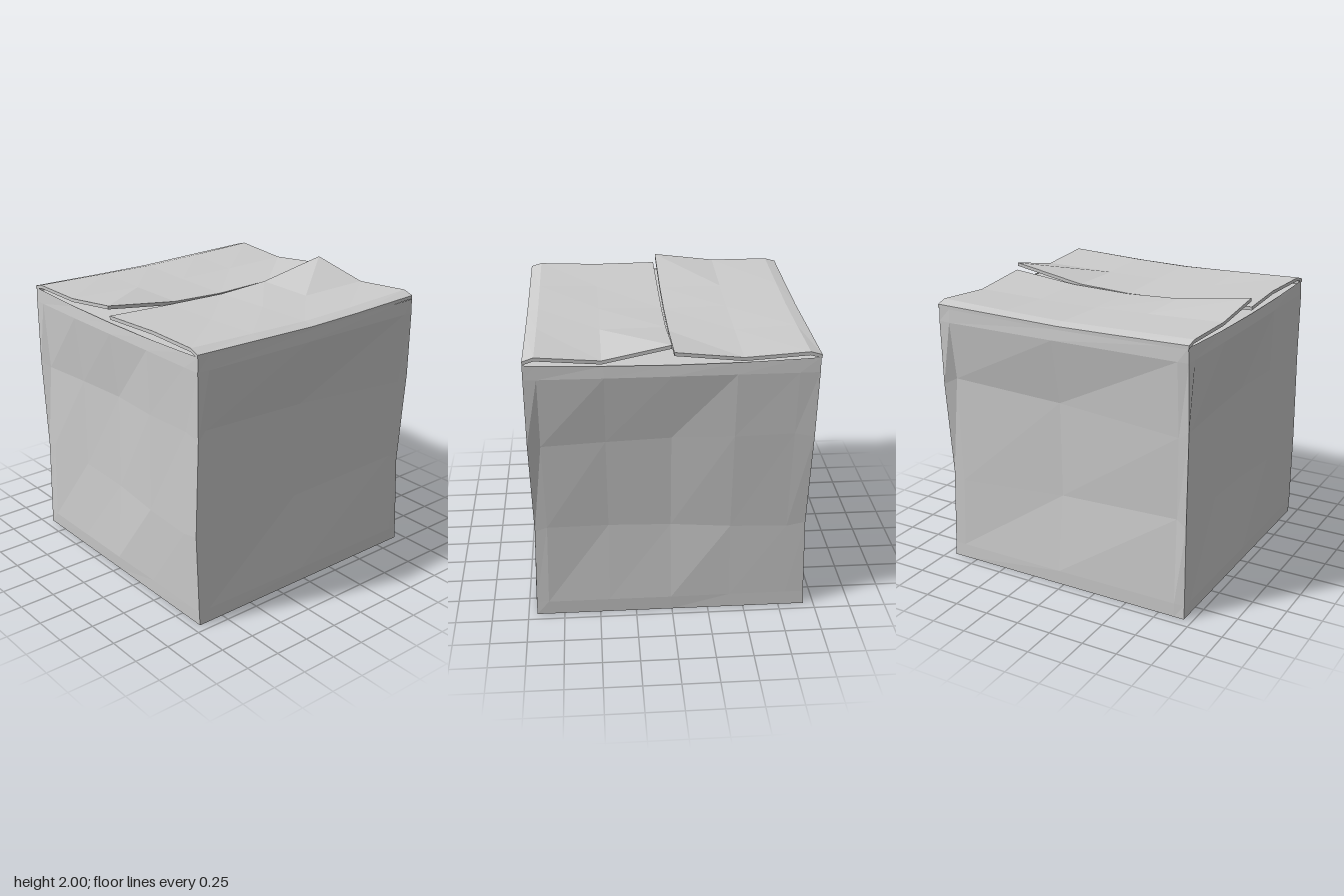
import * as THREE from 'three';

const material = new THREE.MeshStandardMaterial({ color: 0xcccccc, flatShading: true, side: THREE.DoubleSide });

// Facet a grid of points: grid[column][row], columns run left to right seen from outside.
function gridMesh(name, grid) {
  const pos = [];
  const put = (...pts) => pts.forEach((p) => pos.push(p.x, p.y, p.z));
  for (let i = 0; i + 1 < grid.length; i++) {
    for (let j = 0; j + 1 < grid[i].length; j++) {
      const a = grid[i][j], b = grid[i + 1][j], c = grid[i + 1][j + 1], d = grid[i][j + 1];
      put(a, b, c, a, c, d);
    }
  }
  const geo = new THREE.BufferGeometry();
  geo.setAttribute('position', new THREE.Float32BufferAttribute(pos, 3));
  geo.computeVertexNormals();
  const mesh = new THREE.Mesh(geo, material);
  mesh.name = name;
  return mesh;
}

const V = (x, y, z) => new THREE.Vector3(x, y, z);
const rows = [0, 0.1, 0.66, 1.33, 1.79, 1.865];

// Plan position [x, z] of the four upright edges at each row.
const edges = {
  frontLeft: [[0.94, 0.94], [0.935, 0.94], [0.917, 0.926], [0.95, 0.942], [0.95, 0.945], [0.945, 0.945]],
  frontRight: [[-0.94, 0.94], [-0.945, 0.94], [-0.955, 0.926], [-0.943, 0.942], [-0.945, 0.945], [-0.94, 0.945]],
  backRight: [[-0.94, -0.93], [-0.94, -0.925], [-0.935, -0.912], [-0.95, -0.93], [-0.945, -0.94], [-0.94, -0.94]],
  backLeft: [[0.94, -0.93], [0.935, -0.925], [0.92, -0.912], [0.95, -0.93], [0.95, -0.94], [0.945, -0.94]],
};

// Wall between two edges; dents[column][row 1..4] push the inner columns outward.
function wall(name, from, to, ts, dents, tilt) {
  const columns = [0, ...ts, 1].map((t, c, all) => {
    const inner = c > 0 && c < all.length - 1;
    return rows.map((y, r) => {
      const a = V(from[r][0], 0, from[r][1]), b = V(to[r][0], 0, to[r][1]);
      const p = a.clone().lerp(b, t);
      const out = b.sub(a).cross(V(0, 1, 0)).normalize().negate();
      if (out.dot(p) < 0) out.negate();
      if (inner && r > 0 && r < 5) p.addScaledVector(out, dents[c - 1][r - 1]);
      p.y = y;
      if (inner && r === 3) p.y -= tilt * (t - 0.5);
      if (inner && r === 2) p.y += tilt * (t - 0.5);
      if (r === 5) p.y += 0.025 * (2 * t - 1) ** 2;
      return p;
    });
  });
  return gridMesh(name, columns);
}

// Flap slab: tops[row][column] are heights from the hinge to the free edge.
function flap(name, tops, sideX, thickness = 0.024) {
  const xs = [-0.945, -0.45, 0, 0.4, 0.945], zs = [0.945, 0.87, 0.45, 0.007];
  const loops = xs.map((x, i) => {
    const top = zs.map((z, r) => V(i === 0 ? sideX[r] : x, tops[r][i], z));
    const bottom = top.map((p) => V(p.x, p.y - thickness, p.z)).reverse();
    return [...top, ...bottom, top[0]];
  });
  const group = new THREE.Group();
  group.name = name;
  group.add(gridMesh(name + 'Sheet', loops));
  for (const loop of [loops[0], loops[4]]) {
    group.add(gridMesh(name + 'Edge', [0, 1, 2, 3].map((k) => [loop[k], loop[7 - k]])));
  }
  return group;
}

export function createModel() {
  const group = new THREE.Group();
  group.name = 'cardboardBox';
  const { frontLeft, frontRight, backRight, backLeft } = edges;

  // Broad walls: one dented column in the middle, narrow margins at the sides.
  const broad = [[0, 0, -0.035, 0.005], [0.005, -0.045, -0.065, 0.008], [0.005, -0.012, -0.01, 0.005]];
  const broadT = [0.045, 0.48, 0.96];
  group.add(wall('frontWall', frontRight, frontLeft, broadT, broad, -0.0 + 0.1, 1));
  group.add(wall('backWall', backLeft, backRight, broadT, broad, 0.1));

  // Side walls: three dented columns.
  const side = [[0.005, 0, -0.03, 0], [0.005, -0.03, -0.045, 0.005], [0.005, -0.035, -0.05, 0.005],
    [0, -0.005, -0.01, 0.003], [0, 0, -0.005, 0.002]];
  const sideT = [0.045, 0.27, 0.5, 0.72, 0.93];
  group.add(wall('leftWall', frontLeft, backLeft, sideT, side, -0.06));
  group.add(wall('rightWall', backRight, frontRight, sideT, side, -0.06));

  // Flat bottom and the folded inner panel under the flaps.
  const ring = (r, y) => [backRight, backLeft, frontRight, frontLeft].map((e) => V(e[r][0], y, e[r][1]));
  const [b0, b1, b2, b3] = ring(0, 0);
  group.add(gridMesh('bottom', [[b0, b2], [b1, b3]]));
  const [t0, t1, t2, t3] = ring(5, 1.86);
  group.add(gridMesh('innerPanel', [[t2, t0], [t3, t1]]));

  // Two warped flaps meeting along the middle.
  group.add(flap('frontFlap', [
    [1.905, 1.895, 1.887, 1.895, 1.915],
    [1.928, 1.915, 1.905, 1.915, 1.94],
    [1.92, 1.9, 1.897, 1.9, 1.907],
    [1.915, 1.897, 1.886, 1.905, 2.0],
  ], [-0.945, -0.94, -0.915, -0.945]));
  const back = flap('backFlap', [
    [1.91, 1.9, 1.89, 1.895, 1.905],
    [1.932, 1.915, 1.905, 1.913, 1.925],
    [1.903, 1.895, 1.893, 1.905, 1.925],
    [1.95, 1.9, 1.888, 1.905, 1.98],
  ], [-0.95, -0.95, -0.945, -0.945]);
  back.rotation.y = Math.PI;
  group.add(back);
  return group;
}
